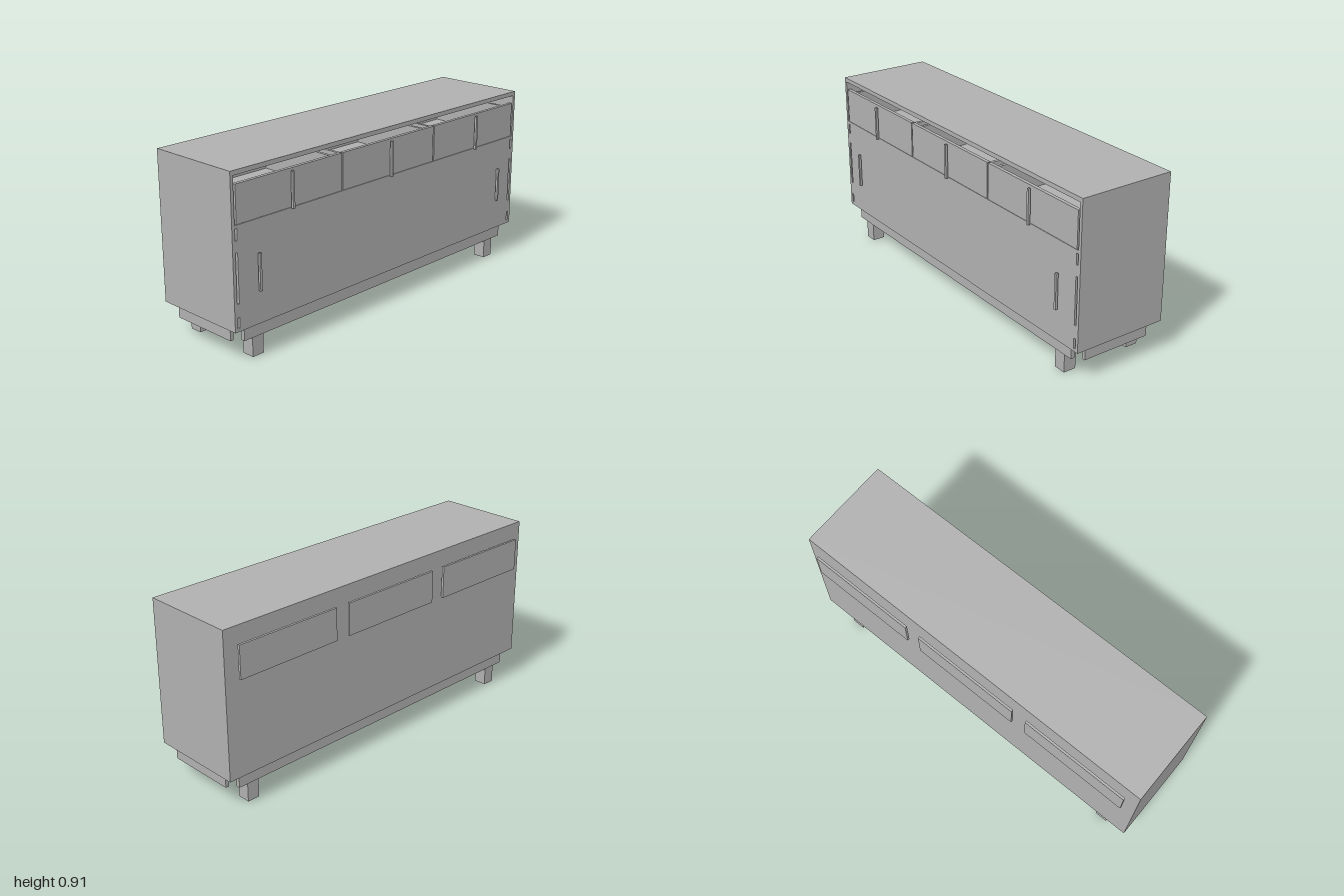
import * as THREE from 'three';

export function createModel() {
  const model = new THREE.Group();
  model.name = 'sideboard';
  const grey = new THREE.MeshStandardMaterial({ color: 0xb0b0b0 });
  grey.name = 'grey';

  // Box given by its extents on each axis
  function box(name, [x0, x1], [y0, y1], [z0, z1], parent = model) {
    const mesh = new THREE.Mesh(new THREE.BoxGeometry(x1 - x0, y1 - y0, z1 - z0), grey);
    mesh.position.set((x0 + x1) / 2, (y0 + y1) / 2, (z0 + z1) / 2);
    mesh.name = name;
    parent.add(mesh);
    return mesh;
  }
  const mirrored = (s, a, b) => (s > 0 ? [a, b] : [-b, -a]);

  const front = 0.255, back = -0.243, bottom = 0.168, top = 0.912;
  const wall = 0.016, frontIn = front - 0.018;

  // Carcass, open at the front
  box('topBoard', [-1, 1], [top - 0.022, top], [back, front]);
  box('bottomBoard', [-1 + wall, 1 - wall], [bottom, bottom + wall], [back, front]);
  box('backBoard', [-1 + wall, 1 - wall], [bottom + wall, top - 0.022], [back, back + 0.01]);
  box('drawerShelf', [-1 + wall, 1 - wall], [0.645, 0.66], [back + 0.01, frontIn]);

  // Lower door front
  box('doorFront', [-0.972, 0.972], [bottom + wall, 0.666], [frontIn, front]);

  for (const s of [-1, 1]) {
    box('sideBoard', mirrored(s, 1 - wall, 1), [bottom, top - 0.022], [back, front]);
    // Spacers in the narrow slot beside the doors
    for (const y of [[0.65, 0.666], [0.595, 0.54], [0.3, 0.235]]) {
      box('slotSpacer', mirrored(s, 0.972, 1 - wall), [Math.min(...y), Math.max(...y)], [frontIn, front]);
    }
    box('doorHandle', [s * 0.857 - 0.006, s * 0.857 + 0.006], [0.33, 0.51], [0.262, 0.274]);
  }

  // Three open drawers, each with its back board standing behind the carcass
  for (const x of [-0.652, 0, 0.652]) {
    const drawer = new THREE.Group();
    drawer.name = 'drawer';
    model.add(drawer);
    box('drawerFront', [x - 0.322, x + 0.322], [0.668, 0.85], [frontIn, front], drawer);
    box('drawerBottom', [x - 0.29, x + 0.29], [0.668, 0.68], [back + 0.012, frontIn], drawer);
    for (const s of [-1, 1]) {
      const c = x + s * 0.296;
      box('drawerSide', [c - 0.008, c + 0.008], [0.668, 0.834], [back + 0.012, frontIn], drawer);
    }
    box('drawerBack', [x - 0.286, x + 0.286], [0.668, 0.834], [-0.274, -0.262], drawer);
    box('drawerHandle', [x - 0.006, x + 0.006], [0.664, 0.84], [0.262, 0.274], drawer);
  }

  // Plinth rails
  box('frontRail', [-0.932, 0.932], [0.1, bottom], [0.214, 0.234]);
  box('backRail', [-0.932, 0.932], [0.1, bottom], [-0.22, -0.2]);
  for (const s of [-1, 1]) {
    box('sideRail', mirrored(s, 0.958, 0.976), [0.1, bottom], [-0.177, 0.19]);
    // Square legs reaching up to the carcass
    box('frontLeg', mirrored(s, 0.814, 0.879), [0, bottom], [0.161, 0.227]);
    box('backLeg', mirrored(s, 0.814, 0.879), [0, bottom], [-0.213, -0.147]);
  }
  return model;
}
